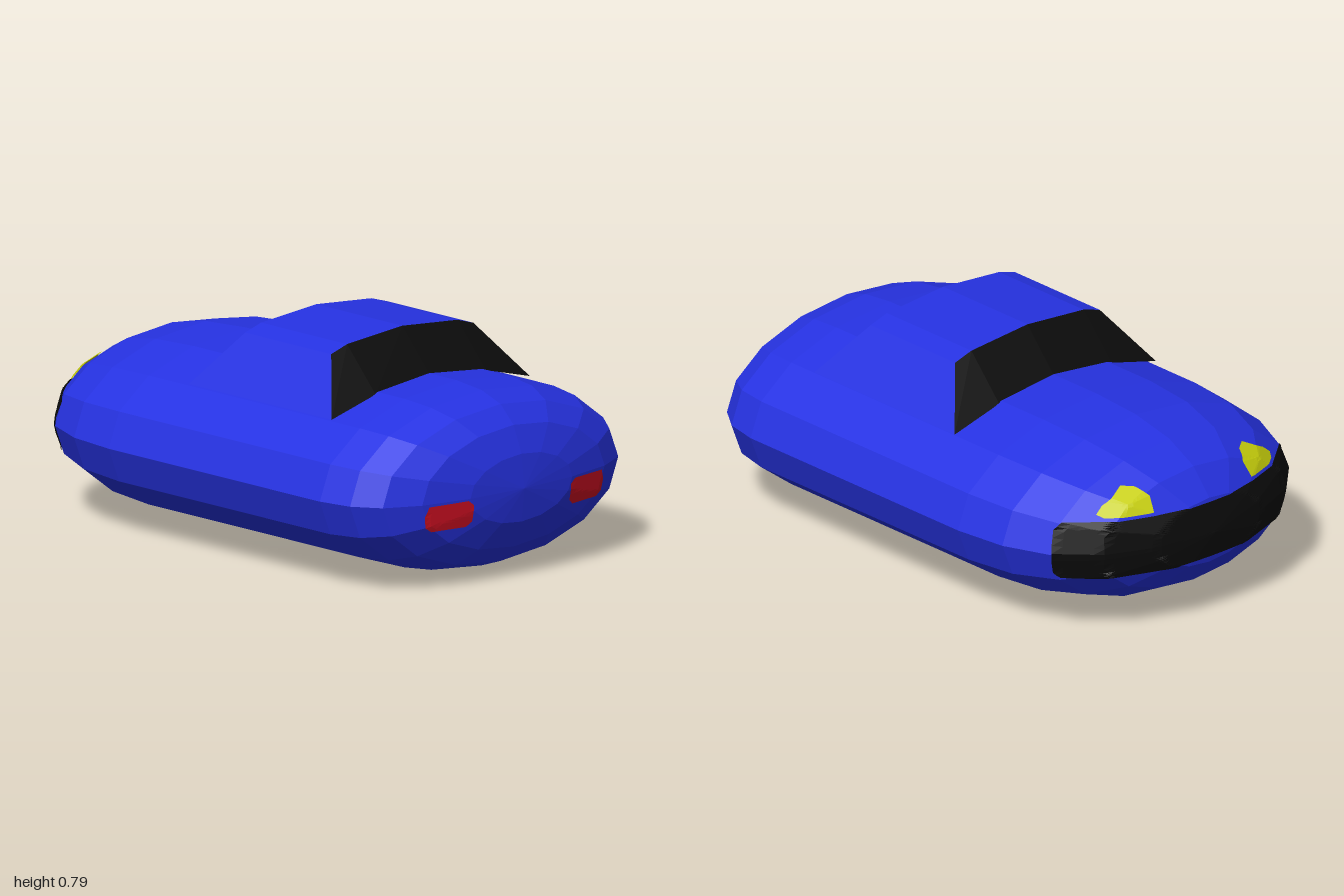
import * as THREE from 'three';

const mat = (name, color, side = THREE.FrontSide) => {
  const m = new THREE.MeshStandardMaterial({ color, side, flatShading: true });
  m.name = name;
  return m;
};

// Planes of all real faces of a geometry
function facePlanes(geometry) {
  const flat = geometry.toNonIndexed().getAttribute('position');
  const planes = [];
  for (let i = 0; i < flat.count; i += 3) {
    const tri = new THREE.Triangle().setFromAttributeAndIndices(flat, i, i + 1, i + 2);
    if (tri.getArea() > 1e-6) planes.push(tri.getPlane(new THREE.Plane()));
  }
  return planes;
}

// Where a ray enters a convex solid: the farthest of the planes it crosses inward
function enterConvex(planes, origin, dir) {
  let far = -Infinity, normal = null;
  for (const p of planes) {
    const facing = p.normal.dot(dir);
    if (facing > -1e-6) continue;
    const t = -p.distanceToPoint(origin) / facing;
    if (t > far) [far, normal] = [t, p.normal];
  }
  return { point: origin.clone().addScaledVector(dir, far), normal };
}

export function createModel() {
  const group = new THREE.Group();
  const blue = mat('body blue', 0x2632e2, THREE.DoubleSide);
  const black = mat('trim black', 0x0c0c0c, THREE.DoubleSide);
  const yellow = mat('headlight yellow', 0xc8d00c, THREE.DoubleSide);
  const red = mat('tail light red', 0xd01022, THREE.DoubleSide);

  const add = (name, geometry, material) => {
    const mesh = new THREE.Mesh(geometry, material);
    mesh.name = name;
    group.add(mesh);
  };
  const sheet = (positions, index) => {
    const g = new THREE.BufferGeometry();
    g.setAttribute('position', new THREE.Float32BufferAttribute(positions, 3));
    g.setIndex(index);
    g.computeVertexNormals();
    return g;
  };

  // Rounded hull: 16-sided lathe along x, flattened to half height; nose at -x
  const profile = [
    [-1, 0], [-0.975, 0.24], [-0.895, 0.425], [-0.77, 0.55], [-0.6, 0.62], [-0.4, 0.645],
    [0.66, 0.645], [0.785, 0.62], [0.88, 0.555], [0.945, 0.43], [0.985, 0.24], [1, 0],
  ].map(([x, r]) => new THREE.Vector2(r, x));
  const hull = new THREE.LatheGeometry(profile, 16);
  hull.rotateZ(-Math.PI / 2).scale(1, 0.5, 1).translate(0, 0.323, 0);
  add('body', hull, blue);
  const planes = facePlanes(hull);

  // Thin patch laid on the hull: an outline filled with rings, each point cast onto the surface
  const patch = (name, outline, material, ray, rings, density) => {
    const n = outline.length;
    const c = [0, 1].map((k) => outline.reduce((s, p) => s + p[k], 0) / n);
    const loop = [];
    outline.forEach((p, i) => {
      const q = outline[(i + 1) % n];
      const count = Math.max(1, Math.round(density * Math.hypot(q[0] - p[0], q[1] - p[1])));
      for (let s = 0; s < count; s++) loop.push([0, 1].map((k) => p[k] + (q[k] - p[k]) * s / count));
    });
    const pos = [], index = [], m = loop.length;
    for (let r = 0; r <= rings; r++) {
      for (const p of loop) {
        const [origin, dir] = ray(...[0, 1].map((k) => c[k] + (p[k] - c[k]) * r / rings));
        const hit = enterConvex(planes, origin, dir);
        pos.push(...hit.point.addScaledVector(hit.normal, 0.006).toArray());
      }
    }
    for (let r = 0; r < rings; r++) {
      for (let i = 0; i < m; i++) {
        const j = (i + 1) % m, a = r * m, b = a + m;
        index.push(a + i, b + i, b + j);
        if (r > 0) index.push(a + i, b + j, a + j);
      }
    }
    add(name, sheet(pos, index), material);
  };

  // Grille band wrapping the nose: outline in (angle, height)
  const wrap = (angle, y) => {
    const dir = new THREE.Vector3(Math.cos(angle), 0, -Math.sin(angle));
    return [new THREE.Vector3(-0.45, y, 0).addScaledVector(dir, -2), dir];
  };
  patch('grille', [
    [-1.0, 0.23], [1.0, 0.23], [1.04, 0.25], [1.04, 0.405], [1.0, 0.43],
    [-1.0, 0.43], [-1.04, 0.405], [-1.04, 0.25],
  ], black, wrap, 18, 40);

  // Lights, mirrored across z: outlines in (z, height)
  const along = (side) => (z, y) => [new THREE.Vector3(side * 2, y, z), new THREE.Vector3(-side, 0, 0)];
  for (const [label, s] of [['Left', 1], ['Right', -1]]) {
    // wound so that each patch faces outward on both sides of the mirror
    const mirror = (pts, facing) => {
      const out = pts.map(([z, y]) => [z * s, y]);
      return s === facing ? out : out.reverse();
    };
    patch('headlight' + label, mirror([
      [0.225, 0.44], [0.385, 0.44], [0.4, 0.45], [0.37, 0.475], [0.28, 0.52], [0.24, 0.515], [0.215, 0.49],
    ], 1), yellow, along(-1), 5, 50);
    patch('tailLight' + label, mirror([
      [0.25, 0.225], [0.385, 0.225], [0.41, 0.24], [0.418, 0.28], [0.405, 0.315],
      [0.25, 0.318], [0.228, 0.3], [0.228, 0.242],
    ], -1), red, along(1), 5, 50);
  }

  // Cabin: roof line and base line in (z, y), swept between front and rear
  const roof = [[-0.335, 0.745], [-0.26, 0.768], [0, 0.79], [0.26, 0.768], [0.335, 0.745]];
  const base = [[-0.467, 0.56], [-0.26, 0.615], [0, 0.635], [0.26, 0.615], [0.467, 0.56]];
  const roofX = [-0.045, 0.387], baseX = [-0.187, 0.53];
  const at = (line, x) => line.map(([z, y]) => [x, y, z]);
  // Strip of quads between two equal lines of points
  const strip = (a, b) => {
    const n = a.length, index = [];
    for (let i = 0; i < n - 1; i++) index.push(i, i + 1, n + i + 1, i, n + i + 1, n + i);
    return sheet([...a, ...b].flat(), index);
  };
  add('roof', strip(at(roof, roofX[0]), at(roof, roofX[1])), blue);
  add('windshield', strip(at(base, baseX[0]), at(roof, roofX[0])), black);
  add('rearWindow', strip(at(roof, roofX[1]), at(base, baseX[1])), black);
  for (const [name, i] of [['cabinSideRight', 0], ['cabinSideLeft', 4]]) {
    const edge = (line, xs) => xs.map((x) => [x, line[i][1], line[i][0]]);
    const [lo, hi] = [edge(base, baseX), edge(roof, roofX)];
    add(name, i ? strip(lo, hi) : strip(hi, lo), blue);
  }
  return group;
}
